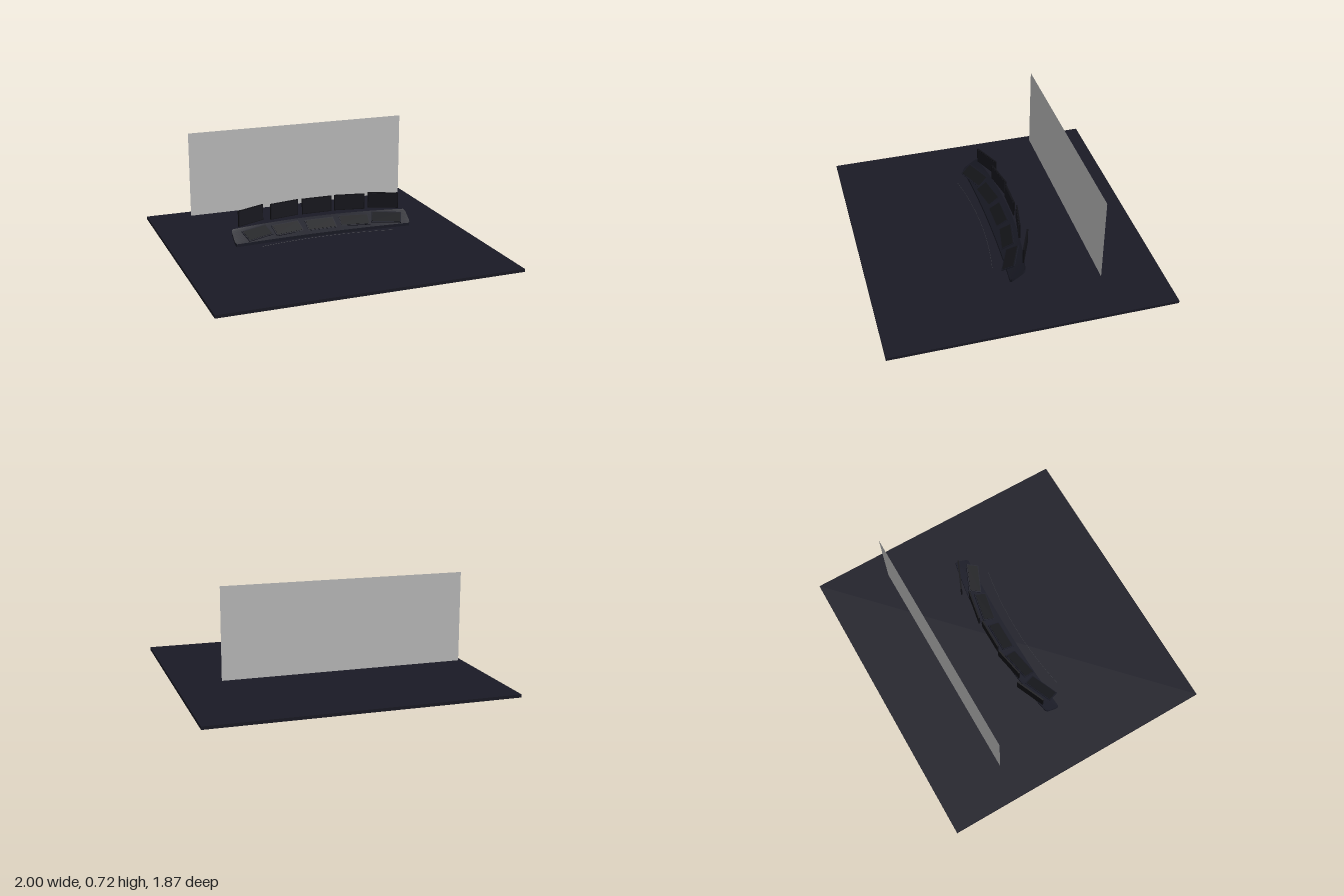
import * as THREE from 'three';

const paint = (name, color) => Object.assign(new THREE.MeshStandardMaterial({ color }), { name });

export function createModel() {
  const mats = {
    floor: paint('floor navy', 0x1a1a25),
    backdrop: paint('backdrop grey', 0xc3c3c3),
    desk: paint('desk navy', 0x1a1b26),
    pad: paint('pad charcoal', 0x16171b),
    casing: paint('casing black', 0x111116),
    glass: paint('screen glass', 0x18181f),
    trim: paint('trim grey', 0x3a3b42),
  };
  mats.backdrop.side = THREE.DoubleSide;

  const model = new THREE.Group();
  model.name = 'controlRoom';
  const add = (parent, name, geometry, mat, x = 0, y = 0, z = 0) => {
    const mesh = new THREE.Mesh(geometry, mat);
    mesh.name = name;
    mesh.position.set(x, y, z);
    parent.add(mesh);
    return mesh;
  };

  // Floor slab and the big wall screen
  add(model, 'floor', new THREE.BoxGeometry(2, 0.02, 1.87), mats.floor, 0, 0.01, 0);
  add(model, 'wallScreen', new THREE.PlaneGeometry(1.56, 0.58), mats.backdrop, 0, 0.43, -0.485);

  // Curved, sloping desk: a slab bent so that its ends come forward, with rounded corners
  const desk = new THREE.BoxGeometry(1.245, 0.02, 1, 32, 1, 10).toNonIndexed();
  const p = desk.attributes.position;
  for (let i = 0; i < p.count; i++) {
    const x = p.getX(i), t = p.getZ(i) + 0.5;
    const k = (x / 0.62) ** 2;
    const back = -0.105 + 0.065 * k, front = 0.04 + 0.022 * k;
    const corner = 1 - 0.016 * Math.abs(2 * t - 1) ** 6;
    p.setXYZ(i, x * corner, 0.155 - 0.07 * t + p.getY(i), THREE.MathUtils.lerp(back, front, t));
  }
  desk.computeVertexNormals();
  add(model, 'desk', desk, mats.desk);

  // Five keypads on the desk and five monitors behind it, turned to the operator
  const stations = [
    { x: 0, turn: 0, pad: [0.132, -0.03], monitor: [0, 0.242, -0.11] },
    { x: 0.24, turn: 0.19, pad: [0.134, -0.02], monitor: [0.235, 0.24, -0.1] },
    { x: 0.46, turn: 0.41, pad: [0.14, 0.018], monitor: [0.476, 0.233, -0.078] },
  ];
  for (const s of stations) {
    for (const side of s.x ? [-1, 1] : [1]) {
      const pad = new THREE.Group();
      pad.name = 'keypad';
      pad.rotation.set(0.52, -side * s.turn, 0, 'YXZ');
      pad.position.set(side * s.x, s.pad[0], s.pad[1]);
      add(pad, 'padBase', new THREE.BoxGeometry(0.205, 0.006, 0.095), mats.desk);
      add(pad, 'padTop', new THREE.BoxGeometry(0.19, 0.002, 0.08), mats.pad, 0, 0.004, 0);
      model.add(pad);

      const [mx, my, mz] = s.monitor;
      const monitor = new THREE.Group();
      monitor.name = 'monitor';
      monitor.rotation.y = -side * s.turn;
      monitor.position.set(side * mx, my, mz);
      add(monitor, 'monitorCasing', new THREE.BoxGeometry(0.21, 0.108, 0.01), mats.casing);
      add(monitor, 'monitorGlass', new THREE.BoxGeometry(0.2, 0.098, 0.003), mats.glass, 0, 0, 0.005);
      model.add(monitor);
    }
  }

  // Thin curved strip in front of the desk
  const arc = new THREE.QuadraticBezierCurve3(
    new THREE.Vector3(-0.47, 0.088, 0.14),
    new THREE.Vector3(0, 0.088, 0.05),
    new THREE.Vector3(0.47, 0.088, 0.14));
  add(model, 'frontStrip', new THREE.TubeGeometry(arc, 32, 0.0012, 6), mats.trim);

  return model;
}
